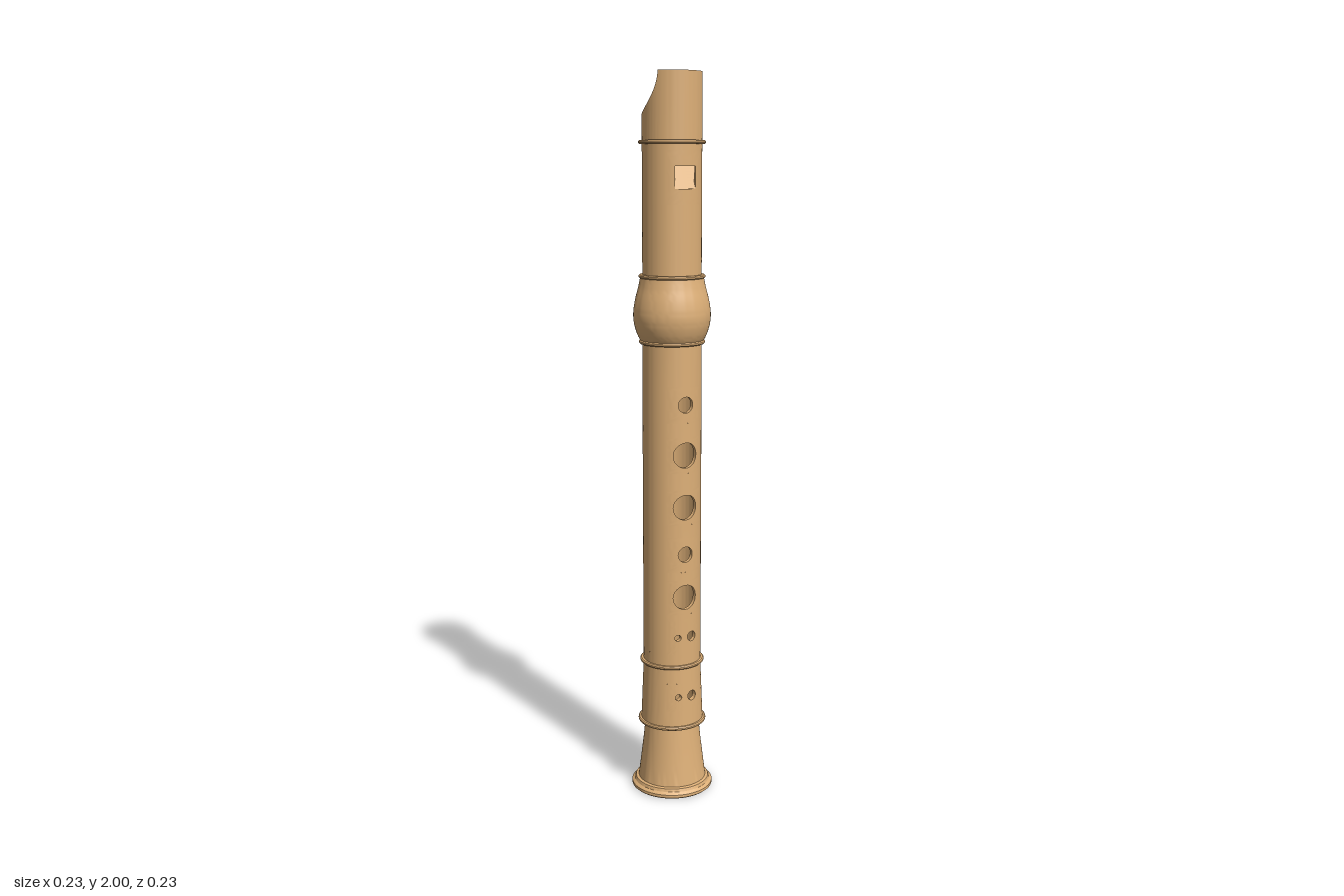
import * as THREE from 'three';
import { mergeGeometries, toCreasedNormals } from 'three/addons/utils/BufferGeometryUtils.js';

const TAU = Math.PI * 2, HEAD = 0.08, BODY = 0.081, BORE = 0.069;
const lerp = THREE.MathUtils.lerp;
const polar = (a, y, r) => [r * Math.sin(a), y, r * Math.cos(a)];

// Surface patch from a rule f(u, v) -> [x, y, z]
function grid(nu, nv, f) {
  const pos = [], index = [];
  for (let j = 0; j <= nv; j++) for (let i = 0; i <= nu; i++) pos.push(...f(i / nu, j / nv));
  for (let j = 0; j < nv; j++) for (let i = 0; i < nu; i++) {
    const a = j * (nu + 1) + i, c = a + nu + 1;
    index.push(a, a + 1, c + 1, a, c + 1, c);
  }
  const g = new THREE.BufferGeometry();
  g.setAttribute('position', new THREE.Float32BufferAttribute(pos, 3));
  g.setIndex(index);
  return g;
}

// Part of a tube wall between two angles
function arc(a0, a1, y0, y1, radius) {
  const n = Math.max(2, Math.ceil((a1 - a0) / TAU * 72));
  return grid(n, 1, (u, v) => {
    const y = lerp(y0, y1, v);
    return polar(lerp(a0, a1, u), y, radius(y));
  });
}

// Wall patch pierced straight through along z by a round or square opening
function piercedPatch(y0, y1, R, t, o) {
  const n = 5, side = 10;
  return grid(side * 4, 2 * n + 1, (u, v) => {
    const k = Math.round(u * side * 4) % (side * 4), s = Math.floor(k / side), e = (k % side) / side * 2 - 1;
    const [sx, sy] = [[e, -1], [1, e], [-e, 1], [-1, -e]][s];
    const row = Math.round(v * (2 * n + 1)), inner = row > n;
    const f = inner ? (2 * n + 1 - row) / n : row / n;
    const len = o.r ? Math.hypot(sx, sy) / o.r : 1;
    const hx = o.x + (o.r ? sx / len : sx * o.w);
    const hy = o.y + (o.r ? sy / len : sy * o.h);
    const rAt = y => R(y) - (inner ? t : 0);
    const ha = o.c + Math.asin(hx / rAt(hy));
    const y = lerp(lerp(y0, y1, (sy + 1) / 2), hy, f);
    const a = lerp(o.c + lerp(o.a0, o.a1, (sx + 1) / 2), ha, f);
    return polar(a, y, rAt(y));
  });
}

// Full ring of wall, with any openings in order of angle
function band(y0, y1, R, t, openings = []) {
  const parts = openings.map(o => piercedPatch(y0, y1, R, t, o));
  const inner = y => R(y) - t;
  const gaps = openings.length ? openings.map((o, i) => {
    const next = openings[i + 1] || openings[0];
    return [o.c + o.a1, next.c + next.a0 + (openings[i + 1] ? 0 : TAU)];
  }) : [[0, TAU]];
  for (const [a, b] of gaps) {
    if (b - a < 1e-4) continue;
    parts.push(arc(a, b, y0, y1, R), arc(a, b, y0, y1, inner));
  }
  return parts;
}

const hole = (y, r, c = 0) => ({ x: 0, y, r, c, a0: -0.7, a1: 0.7 });
const pair = y => [
  { x: -0.022, y, r: 0.009, c: 0, a0: -0.7, a1: 0 },
  { x: 0.02, y, r: 0.014, c: 0, a0: 0, a1: 0.7 },
];

// Tube from yStart to yEnd with a list of [y, openings] and a band around each
function piercedTube(yStart, yEnd, R, t, rows, half) {
  const parts = [];
  let y = yStart;
  for (const [yc, openings] of rows) {
    parts.push(...band(y, yc - half, R, t), ...band(yc - half, yc + half, R, t, openings));
    y = yc + half;
  }
  return parts.concat(band(y, yEnd, R, t));
}

// Mouthpiece: outer wall cut by a concave scoop, with a wind slot in the tip
function beakParts() {
  const y0 = 1.82, tipZ = 0.045, slotZ = 0.048, slotR = 0.073;
  const cut = [[-0.08, 1.885], [-0.0795, 1.885], [-0.078, 1.885], [-0.075, 1.885]];
  for (let i = 0; i <= 20; i++) {
    const p = i / 20 * Math.PI / 2;
    cut.push([-0.07 + 0.115 * Math.sin(p), 2 - 0.115 * Math.cos(p)]);
  }
  const n = cut.length - 1, halfW = z => Math.sqrt(Math.max(0, HEAD * HEAD - z * z));
  const at = u => cut[Math.round(u * n)];
  const tipA = Math.acos(tipZ / HEAD), slotA = Math.acos(slotZ / slotR);
  const slotX = slotR * Math.sin(slotA);
  const parts = [
    arc(-tipA, tipA, y0, 2, () => HEAD),
    grid(n, 12, (u, v) => { const [z, y] = at(u); return [halfW(z) * (v * 2 - 1), y, z]; }),
    // Slot walls
    arc(-slotA, slotA, 1.8, 2, () => slotR),
    grid(1, 1, (u, v) => [lerp(-slotX, slotX, u), lerp(1.76, 2, v), slotZ]),
    // Rim of the tip
    grid(24, 1, (u, v) => polar(lerp(-1, 1, u) * lerp(tipA, slotA, v), 2, lerp(HEAD, slotR, v))),
    grid(1, 1, (u, v) => [lerp(-1, 1, u) * lerp(halfW(tipZ), slotX, v), 2, lerp(tipZ, slotZ, v)]),
  ];
  for (const s of [-1, 1]) {
    parts.push(grid(n, 1, (u, v) => { const [z, y] = at(u); return [s * halfW(z), lerp(y0, y, v), z]; }));
  }
  return parts;
}

export function createModel() {
  const model = new THREE.Group();
  const wood = new THREE.MeshStandardMaterial({ color: 0xdeb078, side: THREE.DoubleSide });
  const add = (name, geometry) => {
    const mesh = new THREE.Mesh(toCreasedNormals(geometry, 0.5), wood);
    mesh.name = name;
    model.add(mesh);
  };
  const lathe = (name, pts) =>
    add(name, new THREE.LatheGeometry(pts.map(p => new THREE.Vector2(...p)), 72));

  // Flared foot with bore
  lathe('footBell', [[0.072, 0.2], [0.076, 0], [0.11, 0], [0.115, 0.004], [0.115, 0.012], [0.107, 0.018],
    [0.104, 0.026], [0.096, 0.028], [0.09, 0.075], [0.082, 0.14], [0.076, 0.2]]);

  // Foot joint and main body with finger holes and a thumb hole
  const jointR = y => 0.088 - 0.04 * (y - 0.2);
  add('footJoint', mergeGeometries(piercedTube(0.2, 0.38, jointR, 0.014, [[0.293, pair(0.293)]], 0.04)));
  add('body', mergeGeometries(piercedTube(0.38, 1.29, () => BODY, BODY - BORE, [
    [0.468, pair(0.468)],
    [0.585, [hole(0.585, 0.035)]],
    [0.708, [hole(0.708, 0.022)]],
    [0.842, [hole(0.842, 0.035)]],
    [0.988, [hole(0.988, 0.035)]],
    [1.127, [hole(1.127, 0.022), hole(1.127, 0.022, Math.PI)]],
  ], 0.05)));

  // Swelling socket
  const bulge = new THREE.SplineCurve([[0.083, 1.29], [0.094, 1.31], [0.103, 1.34], [0.105, 1.37],
    [0.1, 1.405], [0.091, 1.44], [0.085, 1.47]].map(p => new THREE.Vector2(...p)));
  lathe('socket', [[BORE, 1.47], [BORE, 1.29], ...bulge.getPoints(24).map(p => [p.x, p.y]), [BORE, 1.47]]);

  // Head tube with sound window
  const sound = { x: 0, y: 1.729, w: 0.031, h: 0.029, c: 0, a0: -0.7, a1: 0.7 };
  add('head', mergeGeometries(piercedTube(1.47, 1.82, () => HEAD, 0.007, [[1.729, [sound]]], 0.07)));
  add('soundRamp', grid(2, 8, (u, v) => {
    const z = lerp(0.046, 0.0735, v), w = Math.min(0.056, Math.sqrt(0.0795 ** 2 - z * z));
    return [w * (u * 2 - 1), lerp(1.76, 1.7, v), z];
  }));
  add('plug', new THREE.CircleGeometry(0.073, 48).rotateX(Math.PI / 2).translate(0, 1.69, 0));
  add('beak', mergeGeometries(beakParts()));

  // Thin raised rings at the joints
  for (const [y, r] of [[0.203, 0.096], [0.382, 0.09], [1.291, 0.09], [1.468, 0.09], [1.82, 0.09]]) {
    lathe('ring', [[0.076, y - 0.005], [r - 0.003, y - 0.005], [r, y - 0.002], [r, y + 0.002],
      [r - 0.003, y + 0.005], [0.076, y + 0.005]]);
  }
  return model;
}
